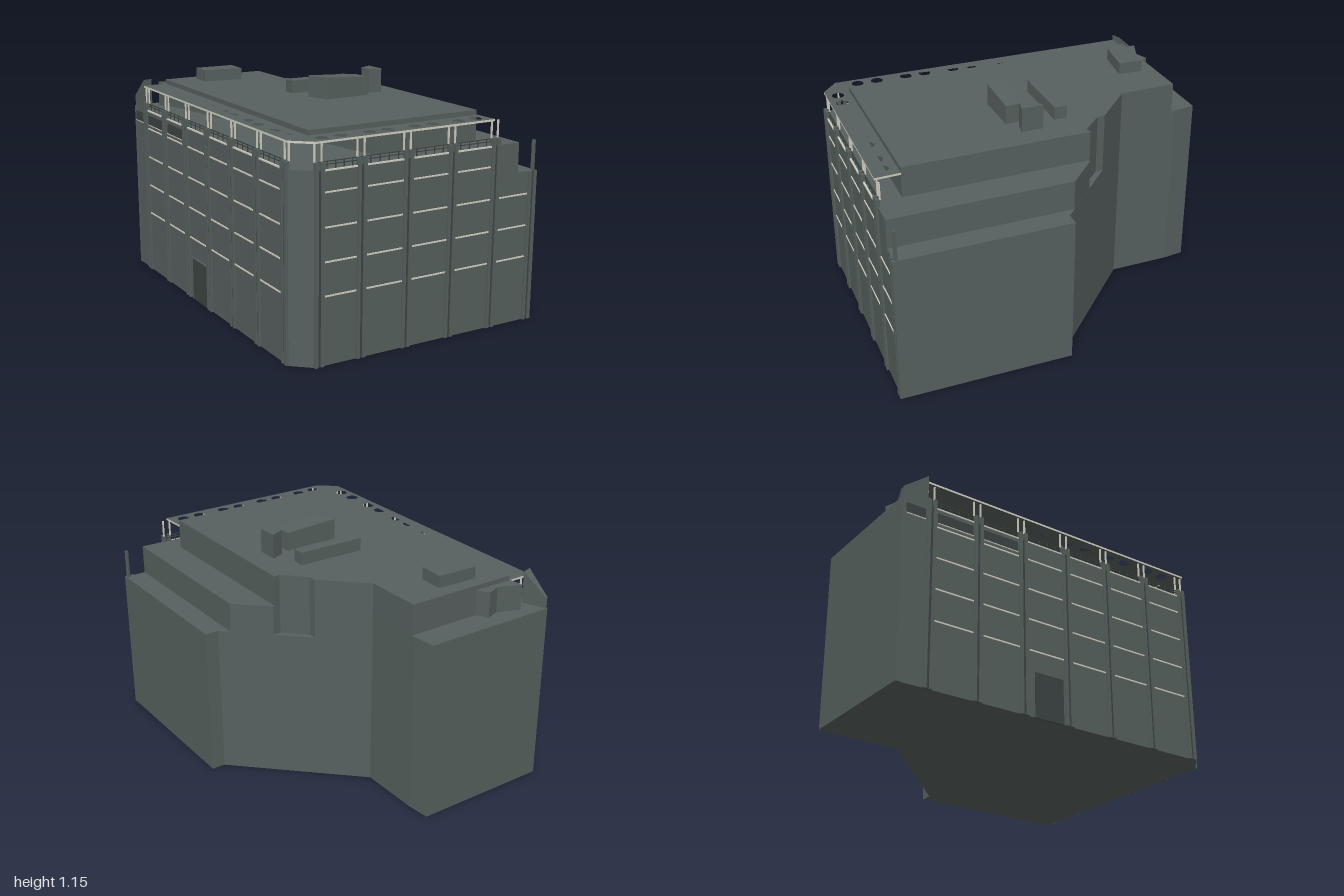
import * as THREE from 'three';

const mat = (name, color) => Object.assign(new THREE.MeshStandardMaterial({ color }), { name });
const wall = mat('slate grey', 0x56605e);
const dark = mat('dark joint', 0x3c4442);
const pale = mat('pale trim', 0xd2d0c2);

// Vertical prism over a plan outline of [x, z] points
function prism(name, pts, y0, y1, material, holes = []) {
  const shape = new THREE.Shape(pts.map(([x, z]) => new THREE.Vector2(x, -z)));
  for (const [x, z, r] of holes) {
    shape.holes.push(new THREE.Path().absarc(x, -z, r, 0, Math.PI * 2, true));
  }
  const geo = new THREE.ExtrudeGeometry(shape, { depth: y1 - y0, bevelEnabled: false, curveSegments: 8 });
  geo.rotateX(-Math.PI / 2).translate(0, y0, 0);
  const mesh = new THREE.Mesh(geo, material);
  mesh.name = name;
  return mesh;
}

function box(parent, name, w, h, d, x, y, z, material) {
  const mesh = new THREE.Mesh(new THREE.BoxGeometry(w, h, d), material);
  mesh.position.set(x, y, z);
  mesh.name = name;
  parent.add(mesh);
}

// Facade group: local x runs along the wall, local z points outwards
function facade(name, a, b, piers, postCount) {
  const g = new THREE.Group();
  g.name = name;
  g.position.set(a[0], 0, a[1]);
  g.rotation.y = -Math.atan2(b[1] - a[1], b[0] - a[0]);
  const floors = [0.325, 0.48, 0.635, 0.79, 0.885];

  piers.forEach((s, i) => {
    const top = i < postCount ? 0.92 : 0.74;
    // Twin pilasters with a dark joint between them
    for (const side of [-1, 1]) {
      box(g, 'pilaster', 0.016, top, 0.02, s + side * 0.015, top / 2, 0, wall);
      if (i < postCount) box(g, 'canopyPost', 0.007, 0.085, 0.007, s + side * 0.018, 0.9605, -0.012, pale);
    }
    box(g, 'pilasterJoint', 0.014, Math.min(top, 0.885), 0.008, s, Math.min(top, 0.885) / 2, 0, dark);

    // Floor bands across each bay
    if (i === piers.length - 1) return;
    const w = piers[i + 1] - s - 0.05;
    const mid = (piers[i + 1] + s) / 2;
    const full = i + 1 < postCount;
    for (const y of floors) {
      if (full || y < 0.74) box(g, 'floorBand', w, 0.007, 0.008, mid, y - 0.003, 0, pale);
    }
    // Terrace railing
    if (full) {
      for (const y of [0.905, 0.918]) box(g, 'rail', w + 0.05, 0.004, 0.004, mid, y, -0.008, dark);
      for (let k = 1; k < 5; k++) {
        box(g, 'railPost', 0.004, 0.034, 0.004, s + k * (piers[i + 1] - s) / 5, 0.902, -0.008, dark);
      }
    }
  });
  return g;
}

export function createModel() {
  const model = new THREE.Group();
  model.name = 'building';

  // Main block
  model.add(prism('mainBlock', [[-0.36, -1], [0.3, -0.86], [0.29, -0.75], [0.23, -0.45], [0.64, 0.155],
    [0.705, 0.17], [0.535, 0.995], [-0.64, 0.74], [-0.71, 0.645]], 0, 0.74, wall));

  // Upper storey, stepped back on the right
  model.add(prism('upperStorey', [[-0.36, -1], [0.3, -0.86], [0.29, -0.75], [0.23, -0.45], [0.38, -0.228],
    [0.375, -0.19], [0.45, -0.07], [0.49, -0.066], [0.605, 0.105], [0.43, 0.972], [-0.64, 0.74], [-0.71, 0.645]],
  0.74, 0.885, wall));

  // Set-back penthouse walls and overhanging roof
  const right = [[0.285, -0.73], [0.23, -0.45], [0.38, -0.228], [0.375, -0.19], [0.45, -0.07], [0.48, -0.07], [0.3, 0.82]];
  model.add(prism('penthouse', [[-0.24, -0.838], ...right, [-0.25, 0.7]], 0.885, 1.01, wall));
  model.add(prism('roof', [[-0.265, -0.845], ...right, [-0.58, 0.63]], 1.01, 1.033, wall));

  // Perforated canopy along the left and the front
  const holes = [];
  for (let i = 0; i < 6; i++) {
    for (const d of [0, 0.098]) {
      const z = -0.777 + i * 0.2465 + d;
      holes.push([-0.358 - (z + 0.777) * 0.213, z, 0.03]);
    }
  }
  for (let i = 0; i < 4; i++) {
    for (const d of [0, 0.092]) {
      const x = -0.565 + i * 0.2335 + d;
      holes.push([x, 0.7 + (x + 0.565) * 0.217, 0.03]);
    }
  }
  model.add(prism('canopy', [[-0.388, -0.87], [-0.265, -0.845], [-0.58, 0.63], [0.305, 0.82], [0.285, 0.941],
    [-0.64, 0.74], [-0.71, 0.645]], 1.0, 1.01, [wall, pale], holes));

  // Facades
  model.add(facade('frontFacade', [-0.64, 0.74], [0.535, 0.995], [0.02, 0.233, 0.473, 0.714, 0.957, 1.18], 5));
  const left = facade('leftFacade', [-0.36, -1], [-0.71, 0.645],
    [0.153, 0.404, 0.654, 0.905, 1.155, 1.406, 1.655], 7);
  model.add(left);

  // Doorway frame and upper window frames on the left side
  box(left, 'door', 0.17, 0.22, 0.008, 0.79, 0.11, 0, dark);
  for (const x of [0.705, 0.875]) box(left, 'doorJamb', 0.006, 0.22, 0.014, x, 0.11, 0, wall);
  box(left, 'doorHead', 0.176, 0.006, 0.014, 0.79, 0.22, 0, wall);
  for (const [x, w] of [[0.07, 0.1], [0.28, 0.19], [0.53, 0.19]]) {
    box(left, 'window', w, 0.05, 0.006, x, 0.835, 0, dark);
    box(left, 'windowSill', w, 0.004, 0.01, x, 0.808, 0, pale);
  }
  box(left, 'cornerPilaster', 0.016, 0.885, 0.016, 0.012, 0.4425, -0.004, wall);

  // Rooftop plant rooms
  model.add(prism('backPlantRoom', [[-0.13, -0.75], [0.07, -0.7], [0.04, -0.58], [-0.15, -0.65]], 1.03, 1.092, wall));
  model.add(prism('longPlantRoom', [[-0.03, -0.14], [0.3, -0.065], [0.285, -0.005], [-0.045, -0.075]], 1.03, 1.096, wall));
  model.add(prism('stairTower', [[0.26, 0.105], [0.33, 0.09], [0.31, 0.195], [0.25, 0.17]], 1.03, 1.152, wall));
  const plant = prism('mainPlantRoom', [[-0.05, 0.05], [0.215, 0.11], [0.2, 0.21], [-0.03, 0.165]], 1.03, 1.14, wall);
  const p = plant.geometry.attributes.position;
  for (let i = 0; i < p.count; i++) {
    if (p.getY(i) > 1.1) p.setY(i, 1.14 - (p.getX(i) + 0.05) * 0.06);
  }
  plant.geometry.computeVertexNormals();
  model.add(plant);

  // Sloping screen and small shelter on the back ledge
  const screen = prism('backScreen', [[-0.388, -0.87], [-0.36, -0.995], [-0.352, -0.993], [-0.335, -0.875]], 0.885, 1.04, wall);
  const q = screen.geometry.attributes.position;
  for (let i = 0; i < q.count; i++) {
    if (q.getY(i) > 1 && q.getZ(i) < -0.9) q.setY(i, 0.94);
  }
  screen.geometry.computeVertexNormals();
  model.add(screen);
  model.add(prism('ledgeShelter', [[-0.26, -0.92], [-0.16, -0.855], [-0.09, -0.865], [-0.07, -0.8], [-0.27, -0.84]], 0.885, 1.01, wall));

  // Slim post on the front right corner
  box(model, 'cornerPost', 0.012, 0.145, 0.014, 0.527, 0.8125, 0.983, wall);

  return model;
}
